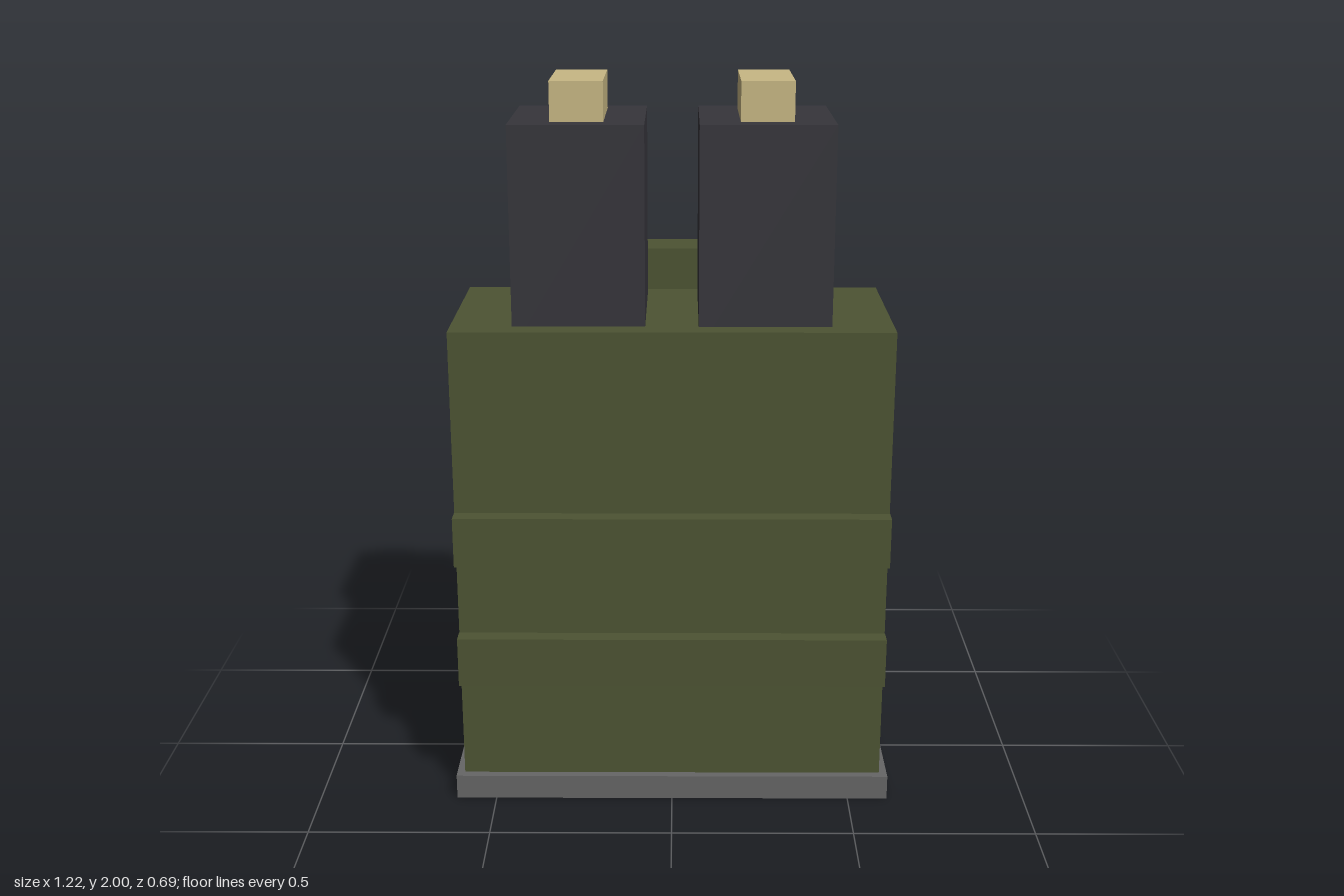
import * as THREE from 'three';

const flat = (name, color, side = THREE.FrontSide) => {
  const m = new THREE.MeshStandardMaterial({ color, side });
  m.name = name;
  return m;
};

// Box given by its [min, max] range on each axis; openBelow drops the bottom face.
function block(name, material, [x0, x1], [y0, y1], [z0, z1], openBelow = false) {
  const geometry = new THREE.BoxGeometry(x1 - x0, y1 - y0, z1 - z0);
  if (openBelow) {
    const index = Array.from(geometry.index.array);
    index.splice(18, 6);
    geometry.setIndex(index);
    geometry.clearGroups();
  }
  const mesh = new THREE.Mesh(geometry, material);
  mesh.name = name;
  mesh.position.set((x0 + x1) / 2, (y0 + y1) / 2, (z0 + z1) / 2);
  return mesh;
}

export function createModel() {
  const olive = flat('olive fabric', 0x4d5433);
  const black = flat('dark metal', 0x36353b);
  const brass = flat('brass', 0xc8b884);
  const grey = flat('grey trim', 0x666666, THREE.DoubleSide);

  const model = new THREE.Group();
  model.name = 'magazinePouch';

  // Hollow tray under the pouch, open below
  model.add(block('baseTrim', grey, [-0.612, 0.612], [0, 0.07], [-0.249, 0.314], true));

  // Pouch body and the backing panel overlapping its rear
  model.add(block('pouchBody', olive, [-0.59, 0.59], [0.07, 1.365], [-0.227, 0.291], true));
  model.add(block('backPanel', olive, [-0.354, 0.354], [0.31, 1.484], [-0.343, -0.204]));

  // Two straps standing just off the front
  for (const y of [0.367, 0.721]) {
    model.add(block('frontStrap', olive, [-0.59, 0.59], [y, y + 0.141], [0.298, 0.343]));
  }

  // Pair of magazines, each with a round on top
  for (const side of [-1, 1]) {
    const magazine = new THREE.Group();
    magazine.name = side > 0 ? 'leftMagazine' : 'rightMagazine';
    magazine.position.x = side * 0.248;
    magazine.add(block('magazineBody', black, [-0.177, 0.177], [1.3, 1.896], [-0.167, 0.23]));
    magazine.add(block('round', brass, [-0.07, 0.07], [1.896, 2], [-0.11, 0.172], true));
    model.add(magazine);
  }
  return model;
}
